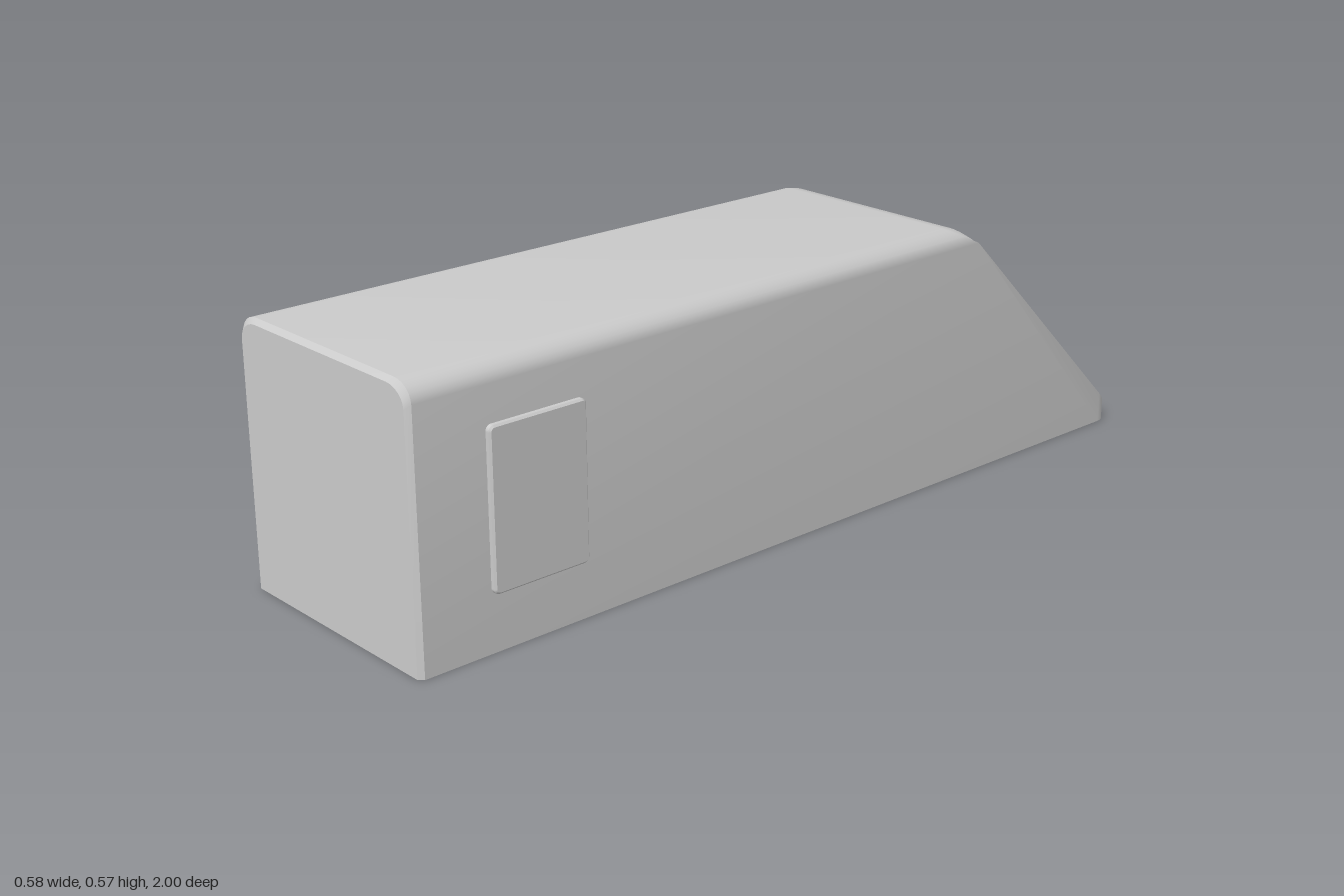
import * as THREE from 'three';
import { toCreasedNormals } from 'three/addons/utils/BufferGeometryUtils.js';

const material = new THREE.MeshStandardMaterial({ color: 0xcccccc, side: THREE.DoubleSide });
const N = 6; // segments per rounded corner
const CX = 0.003, W = 0.275; // body centre and half width
const slopeZ = y => y - 1.03;

function add(parent, name, geometry, x = 0, y = 0, z = 0) {
  const mesh = new THREE.Mesh(geometry, material);
  mesh.name = name;
  mesh.position.set(x, y, z);
  parent.add(mesh);
  return mesh;
}

// Counter-clockwise rounded rectangle: lower right, upper right, upper left, lower left
function outline(w, y0, y1, rx, ry) {
  const pts = [];
  [[1, 0], [1, 1], [-1, 1], [-1, 0]].forEach(([sx, top], c) => {
    for (let i = 0; i <= N; i++) {
      const a = (c - 1 + i / N) * Math.PI / 2;
      pts.push({
        x: CX + sx * (w - rx) + rx * Math.cos(a),
        y: (top ? y1 - ry : y0 + ry) + ry * Math.sin(a), top
      });
    }
  });
  return pts;
}

// Skin through rings of equal point count, capped at both ends
function loft(rings) {
  const pos = [], idx = [], n = rings[0].length;
  rings.forEach(r => r.forEach(p => pos.push(p.x, p.y, p.z)));
  for (let k = 0; k < rings.length - 1; k++) for (let i = 0; i < n; i++) {
    const j = (i + 1) % n, a = k * n, b = a + n;
    idx.push(a + i, b + i, b + j, a + i, b + j, a + j);
  }
  const last = (rings.length - 1) * n;
  for (let i = 1; i < n - 1; i++) idx.push(0, i, i + 1, last, last + i + 1, last + i);
  const g = new THREE.BufferGeometry();
  g.setAttribute('position', new THREE.Float32BufferAttribute(pos, 3));
  g.setIndex(idx);
  return toCreasedNormals(g, 0.5);
}

function bodyGeometry() {
  const outer = outline(W, 0, 0.57, 0.05, 0.04);
  const rim = outline(W, 0.03, 0.54, 0.04, 0.04).map(p => ({ ...p, z: slopeZ(p.y) }));
  const flat = (pts, z) => pts.map(p => ({ x: p.x, y: p.top ? p.y : 0, z }));
  // End of the straight walls, then the soft turn into the slope
  const wall = outer.map((p, i) => p.top
    ? { x: p.x, y: p.y, z: slopeZ(rim[i].y) + 0.03 + 0.04 * (p.y - 0.53) / 0.04 }
    : { x: rim[i].x, y: 0, z: rim[i].z });
  const turn = wall.map((p, i) => {
    const f = outer[i].top ? (outer[i].y - 0.53) / 0.04 : 0;
    return { x: (p.x + rim[i].x) / 2, y: (p.y + rim[i].y) / 2 + 0.008 * f, z: (p.z + rim[i].z) / 2 };
  });
  // Recess in the sloping end, pushed in along the slope normal
  const recess = (inset, depth) => outline(W - inset, 0.03 + inset * 0.8, 0.54 - inset * 0.4, 0.02, 0.02)
    .map(p => ({ x: p.x, y: p.y - depth * 0.707, z: slopeZ(p.y) + depth * 0.707 }));
  return loft([
    flat(outline(W - 0.01, 0, 0.56, 0.05, 0.04), 1), flat(outer, 0.99), wall, turn, rim,
    recess(0.03, 0), recess(0.031, 0.014), recess(0.042, 0.016), recess(0.043, 0.035)
  ]);
}

function roundedRect(w, h, r, Type = THREE.Shape) {
  const s = new Type(), x = w / 2, y = h / 2;
  s.moveTo(-x + r, -y);
  for (const [cx, cy, a] of [[x - r, r - y, -0.5], [x - r, y - r, 0], [r - x, y - r, 0.5], [r - x, r - y, 1]])
    s.absarc(cx, cy, r, a * Math.PI, (a + 0.5) * Math.PI);
  s.closePath();
  return s;
}

// Plate whose top stands at the given height with a chamfered edge
function plate(w, h, height, hole) {
  const c = 0.004, shape = roundedRect(w - 2 * c, h - 2 * c, 0.008);
  if (hole) shape.holes.push(hole);
  return new THREE.ExtrudeGeometry(shape, {
    depth: height - c, bevelSize: c, bevelThickness: c, bevelSegments: 1, curveSegments: 4
  });
}

// Solid from a flat outline
function slab(points, depth) {
  return new THREE.ExtrudeGeometry(new THREE.Shape(points.map(p => new THREE.Vector2(...p))),
    { depth, bevelEnabled: false });
}

export function createModel() {
  const model = new THREE.Group();
  model.name = 'slopedHousing';
  add(model, 'body', bodyGeometry());

  // Flat cover plate on the left side
  const cover = new THREE.Group();
  cover.name = 'sideCover';
  cover.position.set(CX + W, 0.287, 0.722);
  cover.rotation.y = Math.PI / 2;
  add(cover, 'coverPlate', plate(0.225, 0.332, 0.0125));
  model.add(cover);

  // Framed vent on the right side
  const vent = new THREE.Group();
  vent.name = 'sideVent';
  vent.position.set(CX - W, 0.145, 0.718);
  vent.rotation.y = -Math.PI / 2;
  add(vent, 'ventFrame', plate(0.37, 0.164, 0.0185, roundedRect(0.316, 0.11, 0.006, THREE.Path)));
  for (const y of [-0.036, 0, 0.036])
    add(vent, 'ventSlat', new THREE.BoxGeometry(0.314, 0.03, 0.012), 0, y, 0.004).rotation.x = 0.15;
  model.add(vent);

  // Relief inside the sloping recess: local y runs up the slope, z points outward
  const relief = new THREE.Group();
  relief.name = 'recessRelief';
  const s = Math.SQRT1_2;
  relief.quaternion.setFromRotationMatrix(new THREE.Matrix4().makeBasis(
    new THREE.Vector3(-1, 0, 0), new THREE.Vector3(0, s, s), new THREE.Vector3(0, s, -s)));
  relief.position.set(CX, 0.285, -0.745);
  model.add(relief);

  // Waved centre ribbon
  const ribbon = new THREE.PlaneGeometry(0.18, 0.6, 6, 24);
  const p = ribbon.attributes.position;
  for (let i = 0; i < p.count; i++) {
    const u = p.getX(i) / 0.09, v = p.getY(i);
    p.setZ(i, -0.024 + 0.009 * Math.cos((v - 0.02) * 14) - 0.005 * u * u);
  }
  ribbon.computeVertexNormals();
  add(relief, 'centreRibbon', ribbon, 0, 0.03, 0);
  add(relief, 'lowerStep', new THREE.BoxGeometry(0.44, 0.05, 0.014), 0, -0.29, -0.028);

  for (const side of [-1, 1]) {
    const half = new THREE.Group();
    half.name = side < 0 ? 'leftRelief' : 'rightRelief';
    half.scale.x = side;
    relief.add(half);
    add(half, 'lowerPad', slab([[0.09, -0.28], [0.22, -0.28], [0.22, -0.09], [0.09, -0.09]], 0.016), 0, 0, -0.036);
    add(half, 'outerPad', slab([[0.17, -0.09], [0.22, -0.09], [0.22, 0.2], [0.165, 0.2], [0.185, 0.05]], 0.013), 0, 0, -0.036);
    add(half, 'sideBlade', slab([[0.165, 0.18], [0.172, 0.05], [0.19, -0.03], [0.195, 0.0], [0.18, 0.08]], 0.028), 0, 0, -0.036);
    add(half, 'upperPad', slab([[0.085, 0.19], [0.165, 0.19], [0.155, 0.33], [0.12, 0.33]], 0.012), 0, 0, -0.036);
    // Pointed fin near the top of the recess
    const fin = add(half, 'upperFin', new THREE.ConeGeometry(0.035, 0.15, 4).toNonIndexed(), 0.185, 0.24, -0.024);
    fin.geometry.computeVertexNormals();
    fin.scale.z = 0.6;
    fin.rotation.z = 0.2;
  }
  return model;
}
